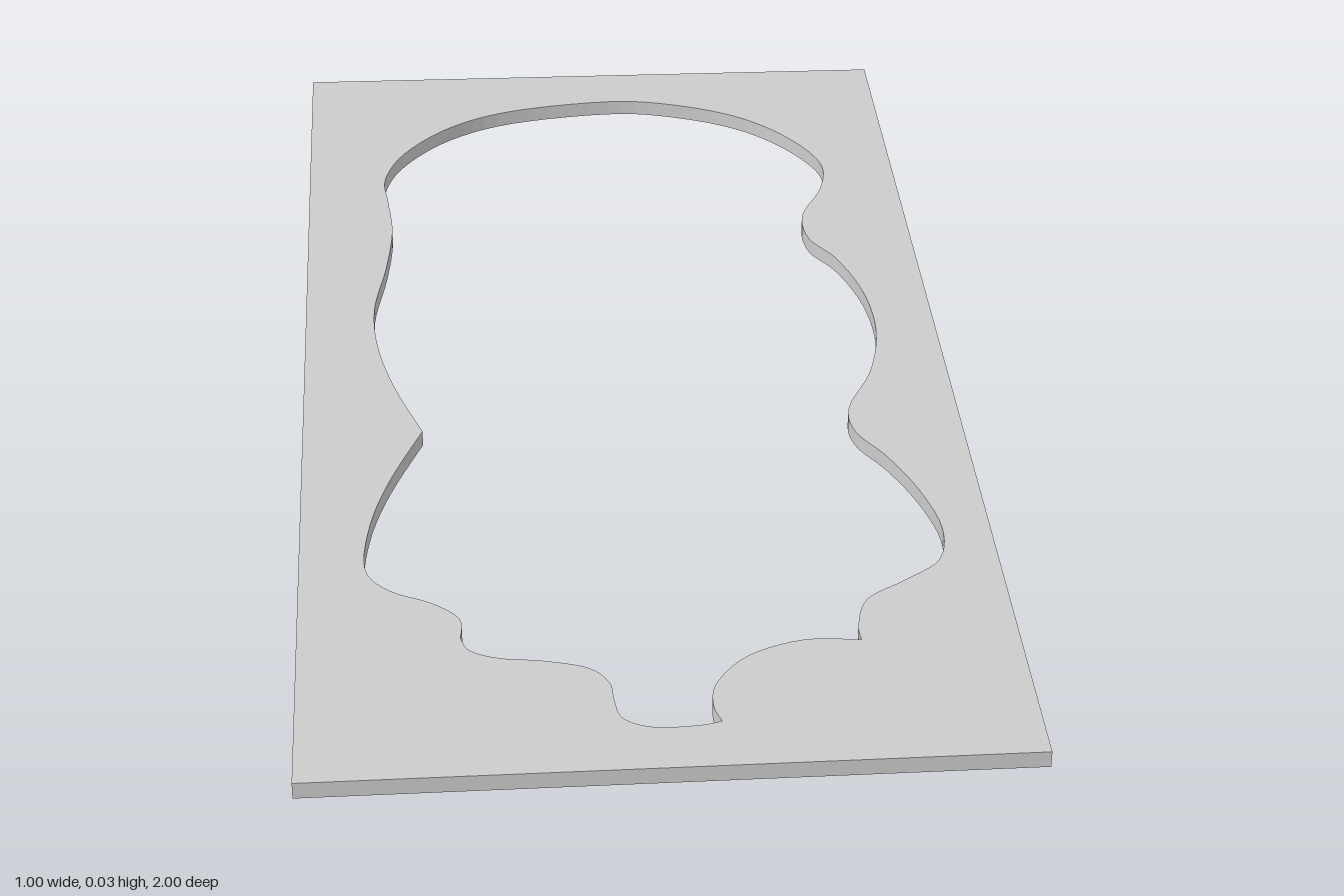
import * as THREE from 'three';

const THICKNESS = 0.025;

// Smooth runs of the cut-out edge as [x, z]; sharp corners lie where runs meet.
const bodyRun = [
  [-0.315, 0.165], [-0.355, 0.04], [-0.38, -0.08], [-0.385, -0.2], [-0.365, -0.33],
  [-0.354, -0.45], [-0.36, -0.55], [-0.364, -0.63], [-0.33, -0.72], [-0.25, -0.81],
  [-0.14, -0.865], [0.03, -0.89], [0.14, -0.872], [0.25, -0.82], [0.33, -0.74],
  [0.38, -0.64], [0.37, -0.55], [0.33, -0.46], [0.332, -0.38], [0.37, -0.31],
  [0.4, -0.2], [0.405, -0.08], [0.38, 0.04], [0.335, 0.14], [0.337, 0.21],
  [0.375, 0.28], [0.41, 0.37], [0.43, 0.47], [0.415, 0.55], [0.36, 0.597],
  [0.3, 0.64], [0.28, 0.7], [0.28, 0.735],
];
const rightScallop = [[0.28, 0.735], [0.2, 0.73], [0.12, 0.762], [0.072, 0.82], [0.063, 0.87], [0.072, 0.905]];
const notchRun = [
  [0.072, 0.905], [0.04, 0.912], [-0.02, 0.912], [-0.06, 0.89], [-0.069, 0.85], [-0.073, 0.81],
  [-0.1, 0.775], [-0.16, 0.755], [-0.22, 0.745], [-0.26, 0.725], [-0.272, 0.695],
];
const leftRun = [
  [-0.272, 0.695], [-0.272, 0.65], [-0.31, 0.61], [-0.37, 0.575], [-0.403, 0.52],
  [-0.395, 0.41], [-0.365, 0.295], [-0.315, 0.165],
];

const toPlan = ([x, z]) => new THREE.Vector2(x, -z);

// Samples a run, leaving out its last point, which starts the next run.
function sampleRun(run) {
  const curve = new THREE.SplineCurve(run.map(toPlan));
  return curve.getPoints((run.length - 1) * 5).slice(0, -1);
}

export function createModel() {
  const group = new THREE.Group();
  group.name = 'cutoutFrame';

  // Slightly out-of-square outer border
  const outline = [[-0.5, 1], [0.5, 1], [0.5, -0.985], [-0.49, -1], [-0.495, 0.07]];
  const plate = new THREE.Shape(outline.map(toPlan));

  // Curvy opening
  plate.holes.push(new THREE.Path([bodyRun, rightScallop, notchRun, leftRun].flatMap(sampleRun)));

  // Lay the plate flat on the ground
  const geometry = new THREE.ExtrudeGeometry(plate, { depth: THICKNESS, bevelEnabled: false });
  geometry.rotateX(-Math.PI / 2);

  const mesh = new THREE.Mesh(geometry, new THREE.MeshStandardMaterial({ color: 0xcccccc }));
  mesh.name = 'framePlate';
  group.add(mesh);
  return group;
}
